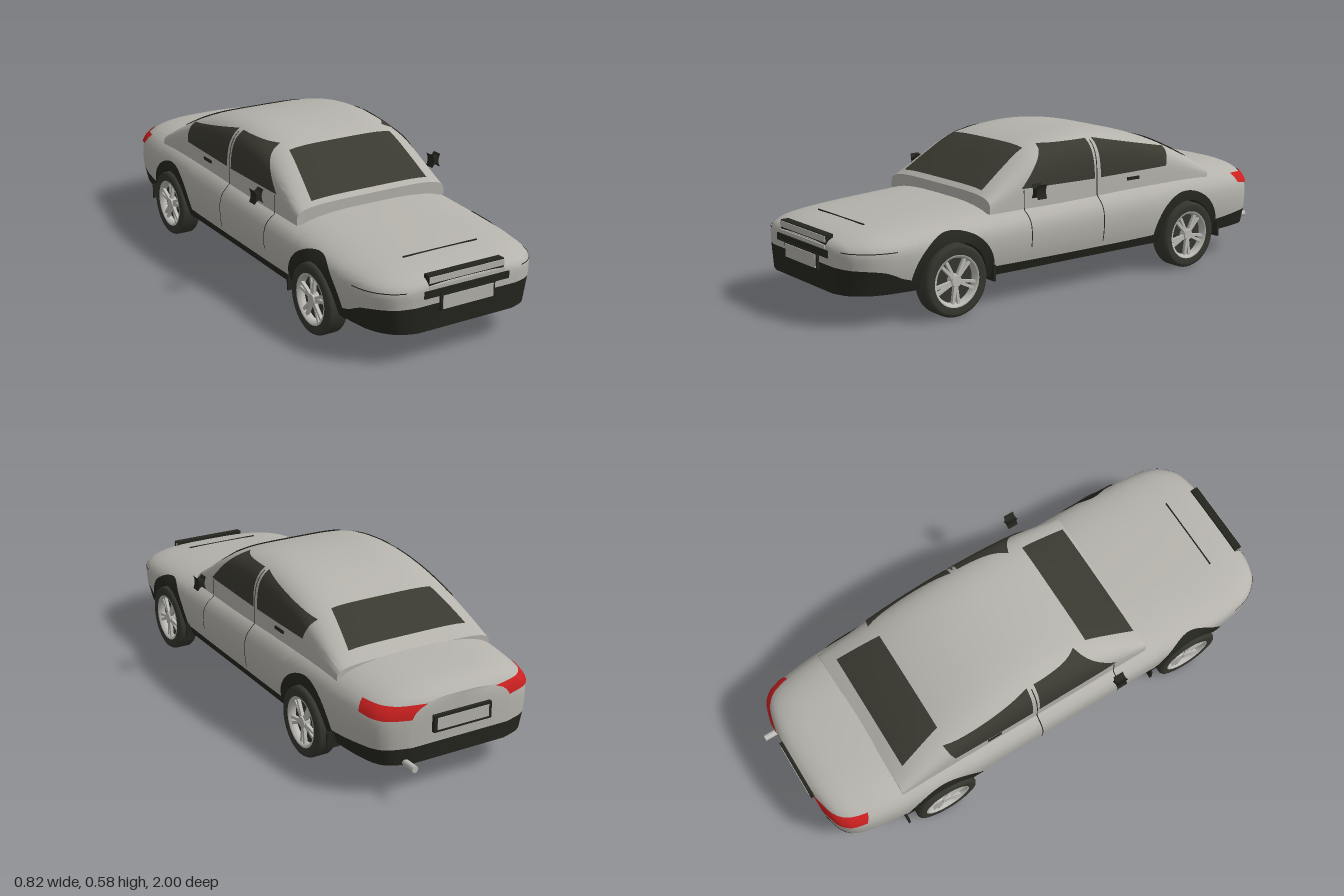
import * as THREE from 'three';
import { toCreasedNormals } from 'three/addons/utils/BufferGeometryUtils.js';

const mat = (name, color, side = THREE.FrontSide) => {
  const m = new THREE.MeshStandardMaterial({ color, side });
  m.name = name;
  return m;
};

// Smooth curve through [z, value] keys
const curve = (keys) => {
  const c = new THREE.CubicInterpolant(new Float32Array(keys.map(k => k[0])), new Float32Array(keys.map(k => k[1])), 1, new Float32Array(1));
  return (t) => c.evaluate(t)[0];
};
const lerp = THREE.MathUtils.lerp;

const WHEELS = [0.595, -0.52], WHEEL_Y = 0.13, ARCH = 0.145;
const FLOOR = 0.115, WAIST = 0.24, CABIN_BASE = 0.33, CABIN_W = 0.32, CABIN_N = 4.5;
const REAR = -0.95, FRONT = 0.985;

const bodyW = curve([[-0.95, 0.2], [-0.93, 0.27], [-0.9, 0.31], [-0.85, 0.332], [-0.75, 0.35], [-0.6, 0.36], [0, 0.365],
  [0.6, 0.365], [0.8, 0.355], [0.9, 0.33], [0.95, 0.29], [0.97, 0.26], [0.985, 0.21]]);
const bodyTop = curve([[-0.95, 0.338], [-0.93, 0.353], [-0.88, 0.37], [-0.8, 0.38], [-0.67, 0.388], [-0.3, 0.385], [0, 0.375],
  [0.4, 0.358], [0.6, 0.345], [0.8, 0.328], [0.9, 0.315], [0.95, 0.302], [0.97, 0.293], [0.985, 0.278]]);
const trimTop = curve([[-0.95, 0.175], [-0.85, 0.175], [-0.72, 0.165], [-0.35, 0.15], [0.4, 0.15], [0.78, 0.16], [0.86, 0.195], [0.985, 0.208]]);
const roof = curve([[-0.67, 0.385], [-0.6, 0.43], [-0.5, 0.482], [-0.4, 0.522], [-0.25, 0.56], [-0.1, 0.575], [0, 0.572],
  [0.1, 0.559], [0.2, 0.532], [0.3, 0.472], [0.41, 0.395]]);

// Half width of the lower body and of the cabin at (z, y)
function bodyX(z, y) {
  const w = bodyW(z);
  if (y < WAIST) return w * (1 - 0.06 * ((WAIST - y) / 0.12) ** 2);
  const f = Math.min(1, (y - WAIST) / (bodyTop(z) - WAIST));
  return w * Math.cbrt(1 - f ** 3);
}
function cabinX(z, y) {
  if (z < -0.67 || z > 0.41 || y < CABIN_BASE) return 0;
  const f = Math.min(1, (y - CABIN_BASE) / (roof(z) - CABIN_BASE));
  return CABIN_W * (1 - f ** CABIN_N) ** (1 / CABIN_N);
}
const cabinY = (z, x) => CABIN_BASE + (roof(z) - CABIN_BASE) * (1 - (Math.abs(x) / CABIN_W) ** CABIN_N) ** (1 / CABIN_N);
const sideX = (z, y) => Math.max(bodyX(z, y), cabinX(z, y));
function archY(z) {
  let y = FLOOR;
  for (const c of WHEELS) if (Math.abs(z - c) < ARCH) y = Math.max(y, WHEEL_Y + Math.sqrt(ARCH ** 2 - (z - c) ** 2));
  return y;
}

// Surface through rows of [x, y, z] points
function skin(rows, crease = 0.7) {
  const n = rows[0].length, idx = [];
  for (let i = 0; i < rows.length - 1; i++) for (let j = 0; j < n - 1; j++) {
    const a = i * n + j, b = a + n;
    idx.push(a, a + 1, b, b, a + 1, b + 1);
  }
  const g = new THREE.BufferGeometry();
  g.setAttribute('position', new THREE.Float32BufferAttribute(rows.flat(2), 3));
  g.setIndex(idx);
  return toCreasedNormals(g, crease);
}
const panel = (fn, nu, nv) => skin(Array.from({ length: nu + 1 }, (_, i) =>
  Array.from({ length: nv + 1 }, (_, j) => fn(i / nu, j / nv))));

// Loft of half sections, closed at both ends by flat caps
function loft(stations, half, mirrorFirst) {
  const row = (z, s) => {
    const r = half(z).map(([x, y]) => [x * s, y, z]), l = r.map(([x, y, w]) => [-x, y, w]).reverse();
    return mirrorFirst ? [...l, ...r] : [...r, ...l];
  };
  const a = stations[0], b = stations[stations.length - 1];
  return skin([row(a, 0), ...stations.map(z => row(z, 1)), row(b, 0)]);
}

export function createModel() {
  const car = new THREE.Group();
  car.name = 'car';
  const paint = mat('silver paint', 0xb5b3ac);
  const trim = mat('black trim', 0x25251f, THREE.DoubleSide);
  const glass = mat('dark glass', 0x3b3a31, THREE.DoubleSide);
  const red = mat('red lamp', 0xcc2020, THREE.DoubleSide);
  const rubber = mat('tyre rubber', 0x36362f);
  const metal = mat('alloy metal', 0xbdbcb7, THREE.DoubleSide);

  const add = (name, geo, m, parent = car) => {
    const mesh = new THREE.Mesh(geo, m);
    mesh.name = name;
    parent.add(mesh);
    return mesh;
  };
  const box = (name, m, w, h, d, x, y, z) => add(name, new THREE.BoxGeometry(w, h, d), m).position.set(x, y, z);

  // Lower body, with the wheel arches cut by raising the lower edge
  let st = [-0.95, -0.945, -0.938, -0.93, -0.915, -0.9, -0.875, -0.85, -0.8, -0.75, -0.7, -0.3, -0.2, -0.1, 0, 0.1, 0.2, 0.3, 0.4,
    0.77, 0.8, 0.83, 0.86, 0.9, 0.925, 0.95, 0.96, 0.97, 0.978, 0.985];
  for (const c of WHEELS) for (let k = 0; k <= 16; k++) st.push(c + ARCH * Math.cos(k * Math.PI / 16));
  st.sort((a, b) => a - b);
  const edge = z => Math.max(archY(z), trimTop(z));
  const levels = [0, 0.1, 0.22, 0.35, 0.48, 0.6, 0.7, 0.79, 0.86, 0.91, 0.95, 0.98, 0.995, 1];
  add('body', loft(st, z => levels.map(f => {
    const y = lerp(edge(z), bodyTop(z), f);
    return [f === 1 ? 0 : bodyX(z, y), y];
  }), false), paint);
  add('underbody', loft(st, z => {
    const inner = Math.min(0.285, bodyW(z) * 0.8), a = archY(z), e = edge(z);
    return [[0, FLOOR], [inner, FLOOR], [inner, a], [bodyX(z, a), a], [bodyX(z, e), e]];
  }, true), trim);

  // Cabin
  const cabinStations = Array.from({ length: 37 }, (_, i) => lerp(-0.67, 0.41, i / 36));
  add('cabin', loft(cabinStations, z => Array.from({ length: 19 }, (_, i) => {
    const t = i / 18 * Math.PI / 2, p = 2 / CABIN_N;
    return [i === 18 ? 0 : CABIN_W * Math.cos(t) ** p, CABIN_BASE + (roof(z) - CABIN_BASE) * Math.sin(t) ** p];
  }), false), paint);

  // Windscreen and rear window
  const screen = (name, z0, w0, z1, w1) => add(name, panel((u, v) => {
    const z = lerp(z0, z1, v), x = lerp(w0, w1, v) * (2 * u - 1);
    return [x, cabinY(z, x) + 0.004, z + Math.sign(z0) * 0.003];
  }, 14, 10), glass);
  screen('windscreen', 0.392, 0.25, 0.185, 0.22);
  screen('rearWindow', -0.62, 0.245, -0.445, 0.21);

  // Parts lying on the flanks: corners given as [z, y], bottom pair then top pair
  const flank = (name, m, s, [a, b, c, d], nu = 10, nv = 8, dz = 0) => add(name, panel((u, v) => {
    const z = lerp(lerp(a[0], b[0], u), lerp(d[0], c[0], u), v);
    const y = lerp(lerp(a[1], b[1], u), lerp(d[1], c[1], u), v);
    return [s * (sideX(z, y) + 0.004), y + (y > 0.45 ? 0.002 : 0), z + dz];
  }, nu, nv), m);
  const seam = (s, z, y0, y1) => flank('doorSeam', trim, s, [[z - 0.002, y0], [z + 0.002, y0], [z + 0.002, y1], [z - 0.002, y1]], 1, 24);

  for (const s of [1, -1]) {
    flank('frontSideWindow', glass, s, [[0.27, 0.405], [-0.075, 0.402], [-0.07, 0.547], [0.13, 0.543]], 14, 10);
    flank('rearSideWindow', glass, s, [[-0.105, 0.403], [-0.44, 0.408], [-0.463, 0.477], [-0.1, 0.547]], 14, 10);
    seam(s, 0.26, 0.2, 0.4);
    seam(s, -0.085, 0.17, 0.54);
    flank('headlampSeam', trim, s, [[0.82, 0.262], [0.975, 0.262], [0.975, 0.265], [0.82, 0.265]], 14, 1);
    flank('tailLamp', red, s, [[-0.83, 0.295], [-0.95, 0.28], [-0.95, 0.327], [-0.81, 0.333]], 24, 4, -0.004);
    box('doorHandle', trim, 0.012, 0.012, 0.06, s * 0.318, 0.38, -0.27);

    // Mirror with hollowed sides
    const m = new THREE.Shape();
    m.moveTo(-0.018, -0.026);
    m.quadraticCurveTo(0, 0.002, 0.018, -0.026);
    m.quadraticCurveTo(0.004, 0, 0.018, 0.026);
    m.quadraticCurveTo(0, -0.002, -0.018, 0.026);
    m.quadraticCurveTo(-0.004, 0, -0.018, -0.026);
    add('mirror', new THREE.ExtrudeGeometry(m, { depth: 0.042, bevelEnabled: false }), trim).position.set(s * 0.39, 0.405, 0.222);

    for (const c of WHEELS) {
      // Arch lip and mud flap
      add('archLip', panel((u, v) => {
        const t = lerp(-0.08, Math.PI + 0.08, u), r = lerp(ARCH - 0.008, 0.175, v);
        const z = c + r * Math.cos(t), y = WHEEL_Y + r * Math.sin(t);
        return [s * (bodyX(z, y) + 0.005), y, z];
      }, 28, 2), trim);
      box('mudFlap', trim, 0.07, 0.06, 0.008, s * 0.335, 0.13, c - 0.168);

      // Wheel, built around the x axis
      const wheel = new THREE.Group();
      wheel.name = 'wheel';
      wheel.position.set(s * 0.34, WHEEL_Y, c);
      wheel.rotation.z = -s * Math.PI / 2;
      car.add(wheel);
      const ring = pts => new THREE.LatheGeometry(pts.map(p => new THREE.Vector2(...p)), 40);
      add('tyre', ring([[0.092, -0.036], [0.115, -0.04], [0.125, -0.037], [0.13, -0.028], [0.13, 0.028], [0.125, 0.037], [0.115, 0.04], [0.092, 0.036]]), rubber, wheel);
      add('rim', ring([[0.092, -0.036], [0.084, -0.03], [0.08, 0.02], [0.086, 0.036], [0.094, 0.037]]), metal, wheel);
      add('brakeDisc', new THREE.CylinderGeometry(0.082, 0.082, 0.01, 32), rubber, wheel).position.y = 0.005;
      add('hub', new THREE.CylinderGeometry(0.02, 0.026, 0.03, 20), metal, wheel).position.y = 0.02;
      for (let k = 0; k < 5; k++) for (const o of [-0.14, 0.14]) {
        const spoke = add('spoke', new THREE.BoxGeometry(0.07, 0.012, 0.011), metal, wheel);
        const a = k * Math.PI * 0.4 + o;
        spoke.position.set(0.05 * Math.cos(a), 0.024, 0.05 * Math.sin(a));
        spoke.rotation.y = -a;
      }
    }
  }

  // Nose: grille with bright slats, bumper bar and number plate
  box('grille', trim, 0.31, 0.05, 0.03, 0, 0.285, 0.968);
  box('upperSlat', paint, 0.31, 0.022, 0.03, 0, 0.295, 0.971);
  box('lowerSlat', paint, 0.31, 0.011, 0.03, 0, 0.27, 0.974);
  box('bumperBar', trim, 0.35, 0.026, 0.02, 0, 0.247, 0.98);
  box('frontPlateFrame', trim, 0.225, 0.058, 0.012, 0, 0.21, 0.988);
  box('frontPlate', paint, 0.208, 0.048, 0.006, 0, 0.21, 0.994);
  box('bonnetSeam', trim, 0.31, 0.004, 0.005, 0, bodyTop(0.83), 0.83);

  // Tail: number plate and exhaust
  box('rearPlateFrame', trim, 0.235, 0.062, 0.016, 0, 0.247, REAR - 0.006);
  box('rearPlate', paint, 0.21, 0.044, 0.006, 0, 0.247, REAR - 0.013);
  const pipe = add('exhaust', new THREE.CylinderGeometry(0.012, 0.012, 0.07, 16), metal);
  pipe.rotation.x = Math.PI / 2;
  pipe.position.set(0.215, 0.123, -0.965);
  return car;
}
